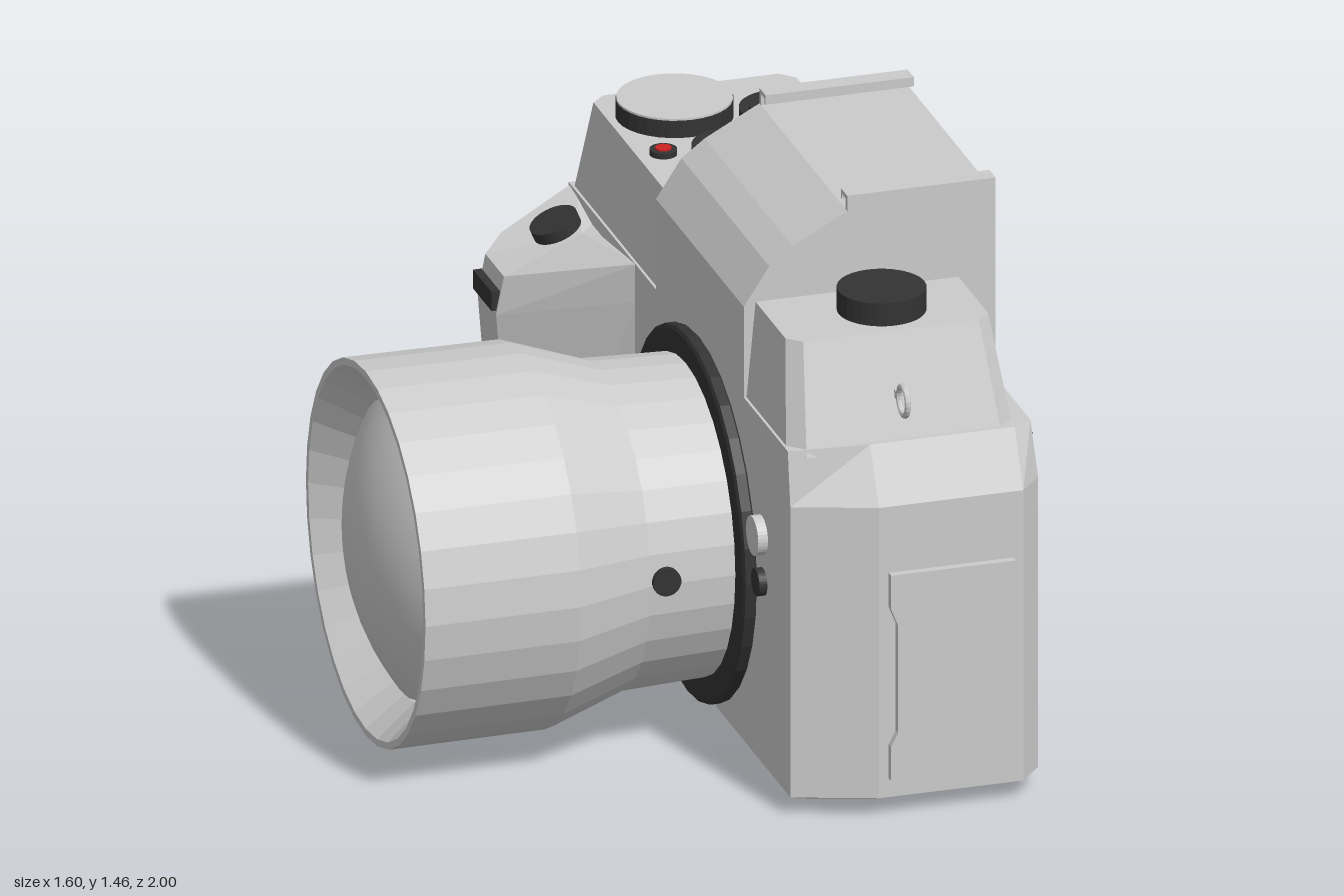
import * as THREE from 'three';

const mat = (color = 0xcccccc, side = THREE.FrontSide) =>
  new THREE.MeshStandardMaterial({ color, flatShading: true, side });
const GREY = mat(), DARK = mat(0x333333), BLACK = mat(0x080808), RED = mat(0xcc2222);

// Closed solid through rings of [x, y, z], each counter-clockwise seen from above
function loft(rings) {
  const n = rings[0].length, pos = rings.flat(2), idx = [];
  const centre = (ring) => [0, 1, 2].map((k) => ring.reduce((s, p) => s + p[k], 0) / n);
  pos.push(...centre(rings[0]), ...centre(rings.at(-1)));
  const base = rings.length * n, last = base - n;
  for (let i = 0; i < n; i++) {
    const j = (i + 1) % n;
    for (let r = 0; r < rings.length - 1; r++) {
      const a = r * n + i, b = r * n + j;
      idx.push(a, b, b + n, a, b + n, a + n);
    }
    idx.push(base, j, i, base + 1, last + i, last + j);
  }
  const g = new THREE.BufferGeometry();
  g.setAttribute('position', new THREE.Float32BufferAttribute(pos, 3));
  g.setIndex(idx);
  g.computeVertexNormals();
  return g;
}
const level = (y, plan) => plan.map(([x, z]) => [x, y, z]);

export function createModel() {
  const model = new THREE.Group();
  const add = (name, geometry, material = GREY, x = 0, y = 0, z = 0) => {
    const m = new THREE.Mesh(geometry, material);
    m.name = name;
    m.position.set(x, y, z);
    model.add(m);
    return m;
  };
  const box = (name, w, h, d, x, y, z, material) =>
    add(name, new THREE.BoxGeometry(w, h, d), material, x, y, z);
  const disc = (name, r, h, x, y, z, axis = 'y', material = DARK) => {
    const m = add(name, new THREE.CylinderGeometry(r, r, h, 32), material, x, y, z);
    if (axis === 'x') m.rotation.z = Math.PI / 2;
    if (axis === 'z') m.rotation.x = Math.PI / 2;
    return m;
  };
  const polygon = (pts) => new THREE.Shape(pts.map(([x, y]) => new THREE.Vector2(x, y)));
  const extrude = (shape, depth) =>
    new THREE.ExtrudeGeometry(shape, { depth, bevelEnabled: false });

  // Main body with bevelled base and shoulders
  const waist = [[0.72, 0.91], [0.72, -0.86], [0.67, -0.965], [0.28, -0.965],
    [0.085, -0.91], [0.085, 0.91], [0.29, 0.98], [0.66, 0.98]];
  add('body', loft([
    level(0, [[0.64, 0.85], [0.64, -0.82], [0.62, -0.86], [0.28, -0.86],
      [0.17, -0.83], [0.17, 0.82], [0.3, 0.86], [0.61, 0.86]]),
    level(0.05, waist),
    level(0.82, waist),
    level(0.96, [[0.71, 0.88], [0.71, -0.87], [0.67, -0.9], [0.28, -0.9],
      [0.085, -0.88], [0.085, 0.89], [0.29, 0.91], [0.66, 0.91]]),
  ]));

  // Hand grip with a sloping top
  const gripPlan = [[0.3, -0.33], [0.3, -0.94], [0.1, -0.93], [-0.13, -0.86],
    [-0.19, -0.75], [-0.19, -0.6], [0.09, -0.34]];
  const gripTop = (x) => 0.96 + 0.42 * Math.min(0, x - 0.06);
  add('grip', loft([
    gripPlan.map(([x, z]) => [x < 0 ? x * 0.7 : x, 0.02 - 0.05 * Math.min(0, x), z]),
    gripPlan.map(([x, z]) => [x, gripTop(x) - 0.1, z]),
    gripPlan.map(([x, z]) => [x < 0 ? x + 0.02 : x, gripTop(x), z < -0.8 ? z + 0.05 : z]),
  ]));
  disc('shutterButton', 0.062, 0.03, -0.013, 0.94, -0.68).rotation.z = 0.4;
  box('frontWheel', 0.04, 0.05, 0.15, -0.18, 0.79, -0.68, DARK);

  // Thumb ridge on the back
  const ridge = (y, x) => level(y, [[0.68, -0.76], [0.715, -0.76], [x, -0.875], [0.68, -0.955]]);
  add('thumbRest', loft([ridge(0.04, 0.722), ridge(0.65, 0.8), ridge(0.82, 0.8), ridge(0.955, 0.71)]));

  // Tapered top housing
  const housing = (y, x0, x1, z, c) => level(y, [[x1, z - c], [x1, -z + c], [x1 - c, -z],
    [x0 + c, -z], [x0, -z + c], [x0, z - c], [x0 + c, z], [x1 - c, z]]);
  add('topHousing', loft([housing(0.94, 0.09, 0.67, 0.9, 0.04), housing(1.21, 0.115, 0.635, 0.81, 0.035)]));

  // Viewfinder hump, extruded across z
  add('viewfinderHump', extrude(polygon([[0.085, 0.95], [0.6, 0.95], [0.6, 0.99], [0.7, 0.99],
    [0.7, 1.42], [0.35, 1.42], [0.21, 1.345], [0.15, 1.3], [0.085, 1.2]]), 0.71), GREY, 0, 0, -0.175);

  // Eyepiece frame and window
  const frame = polygon([[-0.355, 0.99], [0.355, 0.99], [0.355, 1.42], [-0.355, 1.42]]);
  frame.holes.push(new THREE.Path(polygon([[-0.295, 1.03], [-0.295, 1.39], [0.295, 1.39], [0.295, 1.03]]).getPoints()));
  add('eyepieceFrame', extrude(frame, 0.03), GREY, 0.7, 0, 0.18).rotation.y = Math.PI / 2;
  box('eyepieceWindow', 0.02, 0.36, 0.59, 0.705, 1.21, 0.185, BLACK);

  // Accessory rails: upright, top flange and small lip
  for (const s of [-1, 1]) {
    const z = 0.18 + s * 0.348;
    box('railUpright', 0.38, 0.04, 0.014, 0.54, 1.44, z);
    box('railFlange', 0.38, 0.012, 0.05, 0.54, 1.455, z - s * 0.018);
    box('railLip', 0.38, 0.02, 0.008, 0.54, 1.446, z - s * 0.039);
  }

  // Lens barrel, revolved round the x axis: back to front rim, then into the bore
  const lens = new THREE.Group();
  lens.name = 'lens';
  lens.position.set(0, 0.51, 0.175);
  lens.rotation.z = Math.PI / 2;
  model.add(lens);
  const revolve = (name, pts, material) => {
    const m = new THREE.Mesh(new THREE.LatheGeometry(pts.map(([r, h]) => new THREE.Vector2(r, h)), 32), material);
    m.name = name;
    lens.add(m);
  };
  revolve('barrel', [[0.4, -0.09], [0.405, 0.05], [0.41, 0.17], [0.48, 0.37], [0.483, 0.77],
    [0.465, 0.77], [0.385, 0.67], [0.37, 0.6]], mat(0xcccccc, THREE.DoubleSide));
  revolve('mountRing', [[0.38, -0.09], [0.46, -0.09], [0.47, -0.08], [0.47, -0.055], [0.46, -0.05], [0.38, -0.05]], DARK);
  const R = 0.65, glass = [];
  for (let i = 0; i <= 8; i++) {
    const a = 0.61 * (1 - i / 8);
    glass.push([R * Math.sin(a), 0.8 - R + R * Math.cos(a)]);
  }
  revolve('frontGlass', glass, new THREE.MeshStandardMaterial({ color: 0xcccccc, side: THREE.DoubleSide }));
  disc('barrelButton', 0.036, 0.04, -0.13, 0.52, 0.575, 'z');
  disc('lensRelease', 0.05, 0.04, 0.08, 0.655, 0.68, 'x', GREY);
  disc('previewButton', 0.035, 0.03, 0.08, 0.535, 0.69, 'x');

  // Top dials
  disc('leftDial', 0.11, 0.07, 0.395, 1.235, 0.67);
  disc('frontDial', 0.115, 0.05, 0.34, 1.23, -0.315);
  disc('modeDial', 0.145, 0.05, 0.28, 1.23, -0.64);
  disc('modeDialCap', 0.143, 0.006, 0.28, 1.257, -0.64, 'y', GREY);
  disc('rearDial', 0.11, 0.045, 0.52, 1.23, -0.515);
  disc('rearDialStep', 0.085, 0.02, 0.52, 1.25, -0.515);
  disc('rearDialCap', 0.065, 0.02, 0.52, 1.256, -0.515);
  disc('recordButtonRing', 0.034, 0.02, 0.18, 1.215, -0.415);
  disc('recordButton', 0.02, 0.02, 0.18, 1.219, -0.415, 'y', RED);

  // Back screen and buttons
  box('rearScreen', 0.02, 0.75, 1.03, 0.717, 0.535, 0.33, BLACK);
  disc('backButton', 0.044, 0.05, 0.718, 0.595, -0.4, 'x');
  disc('backButton', 0.044, 0.05, 0.713, 0.63, -0.63, 'x');

  // Side door with a finger notch
  add('sideDoor', extrude(polygon([[0.315, 0.1], [0.635, 0.1], [0.635, 0.645], [0.315, 0.645],
    [0.315, 0.555], [0.333, 0.51], [0.333, 0.225], [0.315, 0.19]]), 0.03), GREY, 0, 0, 0.97);

  // Strap lugs
  for (const [x, y, z] of [[0.375, 1.065, 0.91], [0.405, 0.91, -0.955]]) {
    add('strapLug', new THREE.TorusGeometry(0.036, 0.008, 8, 20), GREY, x, y, z).rotation.y = Math.PI / 2;
  }
  box('lugPost', 0.014, 0.02, 0.05, 0.375, 1.065, 0.855);
  return model;
}
